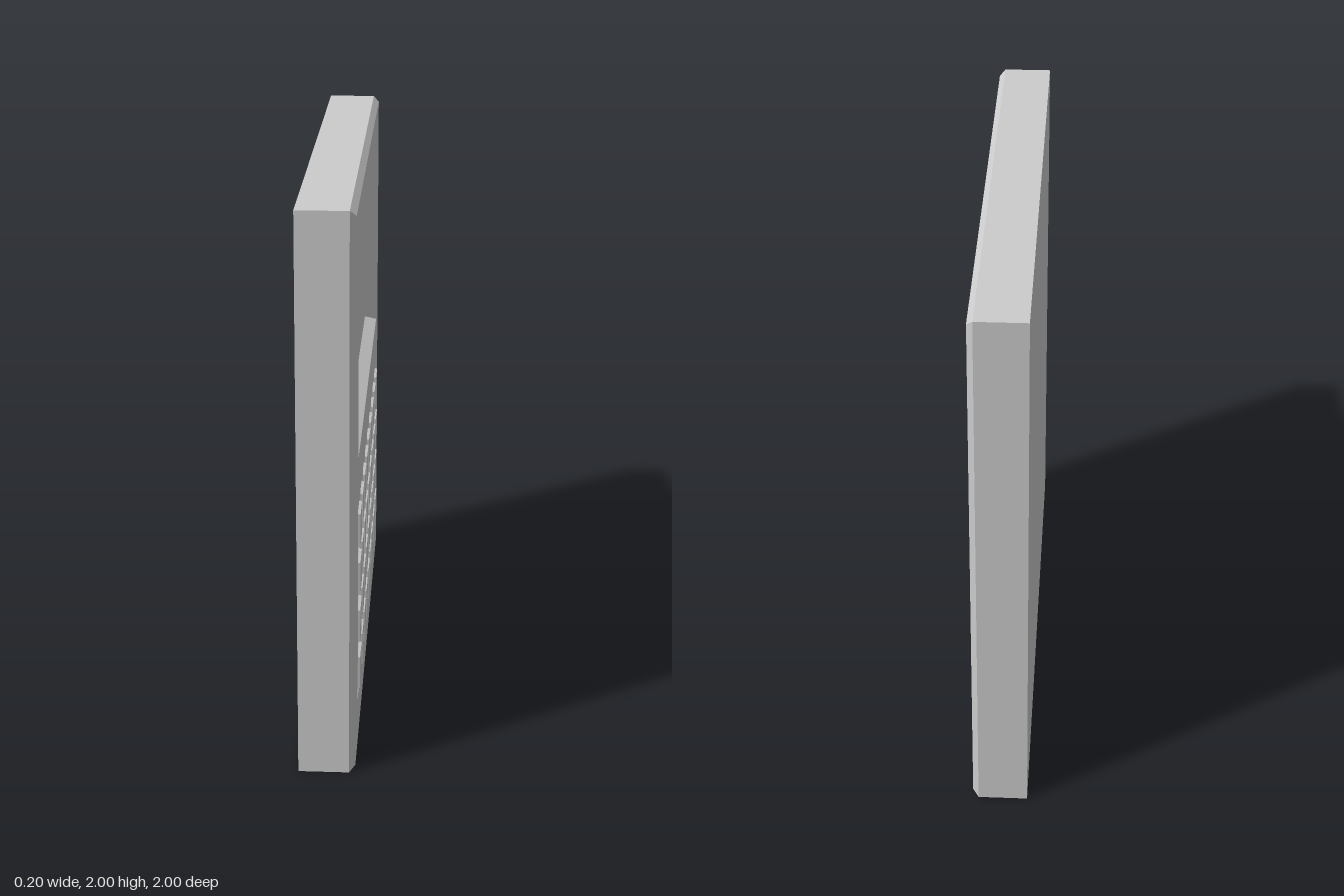
import * as THREE from 'three';

const material = new THREE.MeshStandardMaterial({ color: 0xcccccc, flatShading: true });

// Rectangle as [x0, x1, y0, y1, z]; inset() shrinks it and moves it to another depth
const inset = ([x0, x1, y0, y1], dx, dy, z) => [x0 + dx, x1 - dx, y0 + dy, y1 - dy, z];

// Skin a stack of rectangles, optionally closing the last one
function loft(rects, capped) {
  const rings = rects.map(([x0, x1, y0, y1, z]) =>
    [[x0, y0, z], [x1, y0, z], [x1, y1, z], [x0, y1, z]]);
  const pos = [];
  const quad = (a, b, c, d) => pos.push(...a, ...b, ...c, ...a, ...c, ...d);
  for (let i = 0; i < rings.length - 1; i++) {
    const lo = rings[i], hi = rings[i + 1];
    for (let k = 0; k < 4; k++) {
      const n = (k + 1) % 4;
      quad(lo[k], lo[n], hi[n], hi[k]);
    }
  }
  if (capped) quad(...rings[rings.length - 1]);
  const geo = new THREE.BufferGeometry();
  geo.setAttribute('position', new THREE.Float32BufferAttribute(pos, 3));
  geo.computeVertexNormals();
  return geo;
}

function outline(target, [x0, x1, y0, y1]) {
  target.moveTo(x0, y0);
  target.lineTo(x1, y0);
  target.lineTo(x1, y1);
  target.lineTo(x0, y1);
  target.closePath();
  return target;
}

export function createModel() {
  const model = new THREE.Group();
  const panel = new THREE.Group();
  panel.name = 'panel';
  model.add(panel);

  const add = (name, geo, parent = panel) => {
    const mesh = new THREE.Mesh(geo, material);
    mesh.name = name;
    parent.add(mesh);
    return mesh;
  };

  // Depths and openings, built facing +z and turned to +x at the end
  const BACK = -0.103, EDGE = 0.074, FACE = 0.095, KEY_TOP = 0.102;
  const COLS = 9, ROWS = 4, PITCH = 0.182;
  const body = [-1, 1, 0, 2, BACK];
  const front = inset(body, 0.02, 0.02, FACE);
  const screen = [-0.818, 0.818, 1.095, 1.82, FACE];
  const pad = [-COLS * PITCH / 2, COLS * PITCH / 2, 0.187, 0.187 + ROWS * PITCH, FACE];

  // Casing sides with chamfered front edge, and flat back
  add('casing', loft([body, inset(body, 0, 0, EDGE), front], false));
  const back = add('backPlate', new THREE.PlaneGeometry(2, 2));
  back.position.set(0, 1, BACK);
  back.rotation.y = Math.PI;

  // Front plate with openings for the screen and the keys
  const plate = outline(new THREE.Shape(), front);
  plate.holes.push(outline(new THREE.Path(), screen), outline(new THREE.Path(), pad));
  add('frontPlate', new THREE.ShapeGeometry(plate)).position.z = FACE;

  // Sunken screen with sloping walls
  add('screen', loft([screen, inset(screen, 0.045, 0.024, FACE - 0.045)], true));

  // Keys: each stands in a sloping well, neighbouring wells meet in a ridge
  const h = PITCH / 2;
  const cell = [-h, h, -h, h, FACE];
  const wellAndKey = loft([
    cell,
    inset(cell, 0.017, 0.017, FACE - 0.03),
    inset(cell, 0.022, 0.022, FACE - 0.03),
    inset(cell, 0.031, 0.031, KEY_TOP),
  ], true);
  const keypad = new THREE.Group();
  keypad.name = 'keypad';
  panel.add(keypad);
  for (let r = 0; r < ROWS; r++) {
    for (let c = 0; c < COLS; c++) {
      add(`key_${r + 1}_${c + 1}`, wellAndKey, keypad)
        .position.set(pad[0] + (c + 0.5) * PITCH, pad[2] + (r + 0.5) * PITCH, 0);
    }
  }

  panel.rotation.y = Math.PI / 2;
  return model;
}
